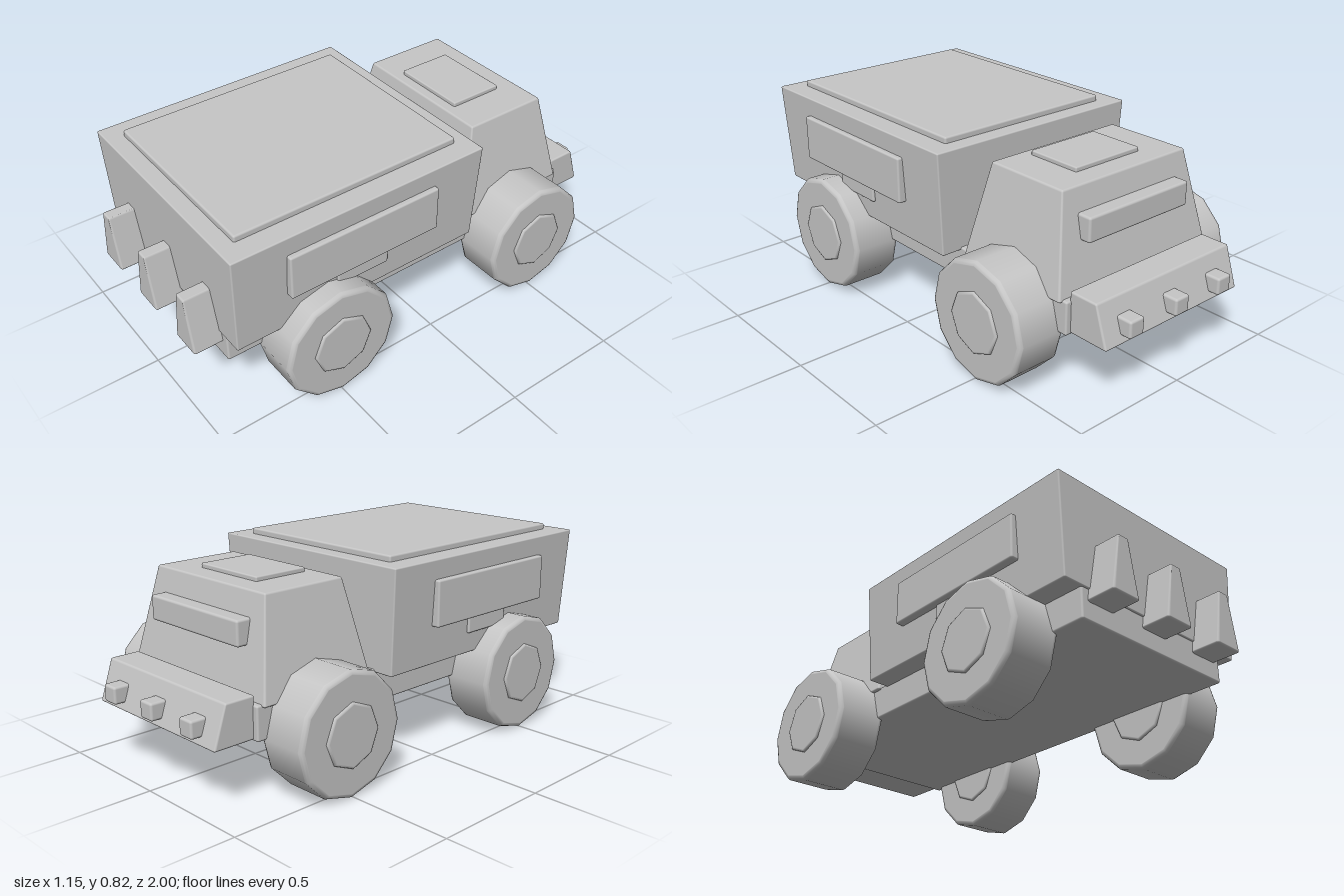
import * as THREE from 'three';
import { RoundedBoxGeometry } from 'three/addons/geometries/RoundedBoxGeometry.js';

const grey = new THREE.MeshStandardMaterial({ color: 0xc6c6c6 });
grey.name = 'plain grey';

// Bevelled block from y0 to y1; bottom and top are [xMin, xMax, zMin, zMax] and may differ
function block(name, y0, y1, bottom, top = bottom, bevel = 0.008) {
  const h = y1 - y0;
  const sizes = (r) => ({ w: r[1] - r[0], d: r[3] - r[2], x: (r[0] + r[1]) / 2, z: (r[2] + r[3]) / 2 });
  const b = sizes(bottom), t = sizes(top);
  const w0 = (b.w + t.w) / 2, d0 = (b.d + t.d) / 2;
  const geo = new RoundedBoxGeometry(w0, h, d0, 2, bevel);
  const p = geo.attributes.position, n = geo.attributes.normal;
  const v = new THREE.Vector3();
  // Slopes of the taper, per unit of height
  const da = (t.w - b.w) / w0 / h, dd = (t.d - b.d) / d0 / h;
  const dx = (t.x - b.x) / h, dz = (t.z - b.z) / h;
  for (let i = 0; i < p.count; i++) {
    const x = p.getX(i), y = p.getY(i) + h / 2, z = p.getZ(i);
    const a = b.w / w0 + da * y, d = b.d / d0 + dd * y;
    p.setXYZ(i, x * a + b.x + dx * y, y + y0, z * d + b.z + dz * y);
    const nx = n.getX(i) / a, nz = n.getZ(i) / d;
    v.set(nx, n.getY(i) - nx * (da * x + dx) - nz * (dd * z + dz), nz).normalize();
    n.setXYZ(i, v.x, v.y, v.z);
  }
  const mesh = new THREE.Mesh(geo, grey);
  mesh.name = name;
  return mesh;
}

// Disc with rounded rims, its axis along x
function disc(name, radius, width, sides, bevel) {
  const h = width / 2, e = 0.003;
  const half = [
    [radius - bevel - e, h], [radius - bevel, h],
    [radius - bevel * 0.3, h - bevel * 0.3],
    [radius, h - bevel], [radius, h - bevel - e],
  ];
  const profile = [
    new THREE.Vector2(0, -h),
    ...half.map(([r, y]) => new THREE.Vector2(r, -y)),
    ...half.slice().reverse().map(([r, y]) => new THREE.Vector2(r, y)),
    new THREE.Vector2(0, h),
  ];
  const geo = new THREE.LatheGeometry(profile, sides);
  geo.rotateZ(Math.PI / 2);
  const mesh = new THREE.Mesh(geo, grey);
  mesh.name = name;
  return mesh;
}

export function createModel() {
  const model = new THREE.Group();
  model.name = 'truck';

  // Frame under everything
  model.add(block('chassis', 0.245, 0.38, [-0.383, 0.383, -0.795, 0.882]));

  // Load box, wider at the top, with its lid
  model.add(block('loadBox', 0.368, 0.795, [-0.47, 0.47, -0.212, 0.888], [-0.495, 0.495, -0.223, 0.898], 0.006));
  model.add(block('loadBoxLid', 0.77, 0.82, [-0.405, 0.405, -0.157, 0.828]));

  // Panels on both flanks
  for (const [side, s] of [['left', 1], ['right', -1]]) {
    const span = (x0, x1) => (s > 0 ? [x0, x1] : [-x1, -x0]);
    model.add(block(side + 'SidePanel', 0.527, 0.715, [...span(0.45, 0.512), 0.005, 0.675]));
    model.add(block(side + 'LowerPanel', 0.455, 0.54, [...span(0.44, 0.487), 0.225, 0.457]));
  }

  // Tapered teeth on the front
  for (const x of [-0.287, 0, 0.287]) {
    model.add(block('tooth', 0.32, 0.555, [x - 0.068, x + 0.068, 0.86, 1], [x - 0.025, x + 0.025, 0.86, 1]));
  }

  // Cab with roof hatch and window bar
  model.add(block('cab', 0.37, 0.755, [-0.398, 0.398, -0.774, -0.25], [-0.322, 0.322, -0.698, -0.327]));
  model.add(block('roofHatch', 0.735, 0.773, [-0.166, 0.166, -0.608, -0.37], undefined, 0.006));
  model.add(block('windowBar', 0.56, 0.66, [-0.262, 0.262, -0.778, -0.69], undefined, 0.01));

  // Sloped bumper with three lamps
  model.add(block('bumper', 0.25, 0.415, [-0.36, 0.36, -0.968, -0.787], [-0.36, 0.36, -0.912, -0.787]));
  for (const x of [-0.24, 0, 0.24]) {
    model.add(block('lamp', 0.28, 0.35, [x - 0.036, x + 0.036, -1, -0.92], undefined, 0.01));
  }

  // Wheels with hubs showing on both faces
  for (const x of [-0.46, 0.46]) {
    for (const z of [-0.512, 0.496]) {
      const wheel = new THREE.Group();
      wheel.name = 'wheel';
      wheel.add(disc('tyre', 0.245, 0.21, 12, 0.015), disc('hub', 0.128, 0.228, 8, 0.008));
      wheel.position.set(x, 0.246, z);
      model.add(wheel);
    }
  }
  return model;
}
